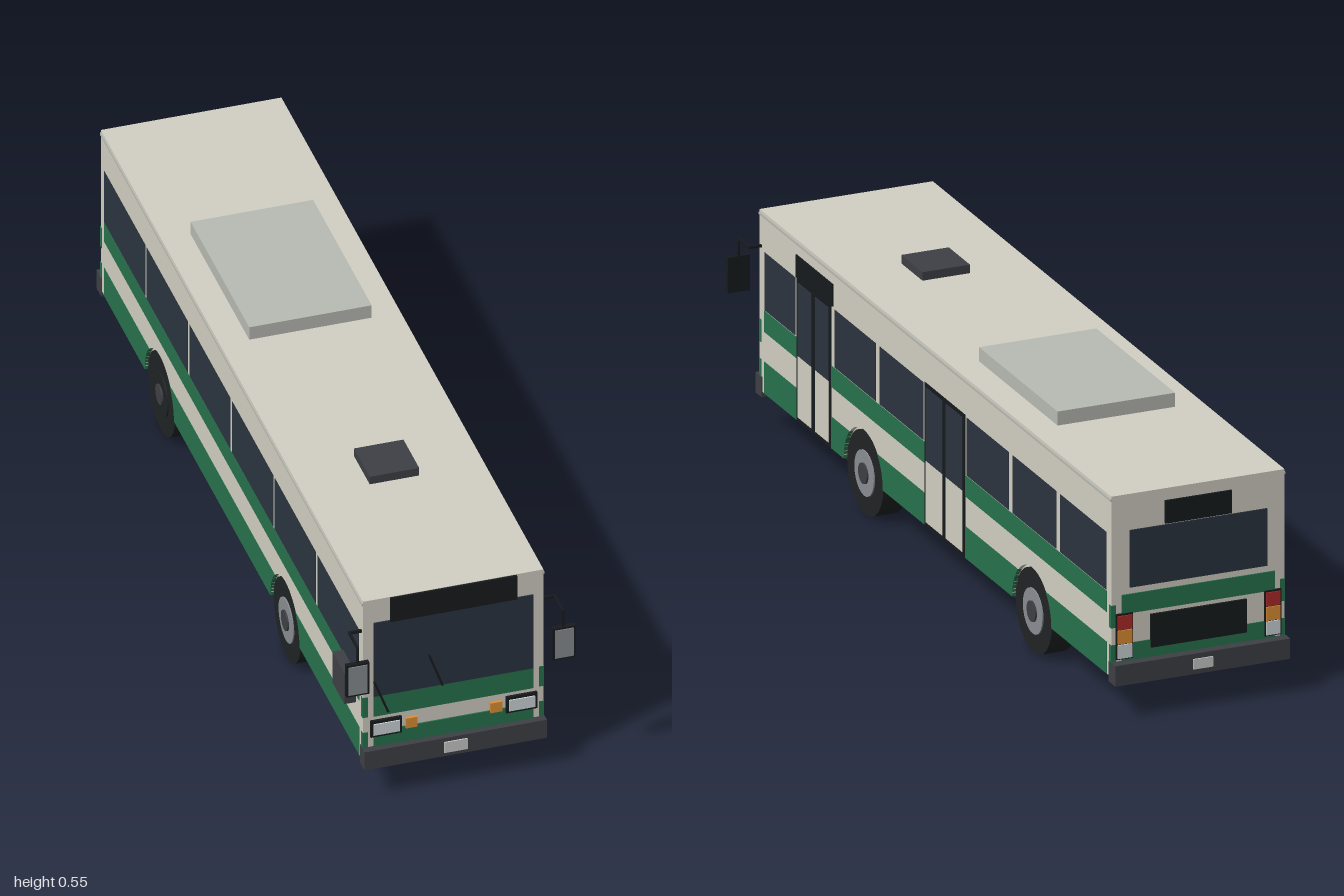
import * as THREE from 'three';

const mat = (color) => new THREE.MeshStandardMaterial({ color });
const M = {
  cream: mat(0xd3d0c4), green: mat(0x27724d), glass: mat(0x2b3440), black: mat(0x171b1d),
  dark: mat(0x3e4045), under: mat(0x29292b), ac: mat(0xb9bbb4), tyre: mat(0x202324),
  rim: mat(0x8a8e92), lamp: mat(0xcfd6da), orange: mat(0xdf9033), red: mat(0xb02a2a), plate: mat(0xd8d8d4),
};
const FRONT = 0.94, BACK = -0.97, HALF = 0.208, BASE = 0.095, ROOF = 0.52;
const WHEELS = [0.375, -0.54], ARCH = 0.106;

export function createModel() {
  const bus = new THREE.Group();
  bus.name = 'bus';

  const add = (name, geometry, material, x = 0, y = 0, z = 0) => {
    const mesh = new THREE.Mesh(geometry, material);
    mesh.name = name;
    mesh.position.set(x, y, z);
    bus.add(mesh);
    return mesh;
  };
  // box given by its extents
  const box = (name, material, x0, x1, y0, y1, z0, z1) =>
    add(name, new THREE.BoxGeometry(x1 - x0, y1 - y0, z1 - z0), material,
      (x0 + x1) / 2, (y0 + y1) / 2, (z0 + z1) / 2);
  // plate on a flank, from x0 to x1 measured outwards
  const flank = (name, material, s, x0, x1, y0, y1, z0, z1) =>
    box(name, material, Math.min(s * x0, s * x1), Math.max(s * x0, s * x1), y0, y1, z0, z1);
  // side profile (drawn with u = -z) extruded along x
  const sidePanel = (name, shape, material, s, x0, x1) => {
    const g = new THREE.ExtrudeGeometry(shape, { depth: x1 - x0, bevelEnabled: false, curveSegments: 24 });
    g.rotateY(Math.PI / 2);
    add(name, g, material, s > 0 ? x0 : -x1);
  };

  // body core, underside and roof
  box('bodyCore', M.cream, -0.198, 0.198, BASE, ROOF, BACK, FRONT);
  box('underside', M.under, -0.2, 0.2, BASE - 0.006, BASE + 0.001, BACK + 0.005, FRONT - 0.005);
  box('roofAirUnit', M.ac, -0.141, 0.141, ROOF, 0.553, -0.527, -0.1);
  box('roofHatch', M.dark, -0.057, 0.057, ROOF, 0.54, 0.397, 0.512);

  // side skin with round wheel arches
  const skin = new THREE.Shape();
  skin.moveTo(-FRONT, BASE);
  for (const z of WHEELS) {
    skin.lineTo(-z - ARCH, BASE);
    skin.absarc(-z, BASE, ARCH, Math.PI, 0, true);
  }
  skin.lineTo(-BACK, BASE);
  skin.lineTo(-BACK, ROOF);
  skin.lineTo(-FRONT, ROOF);
  skin.closePath();

  // lower stripe pieces, with ends following the arches
  const edge = (u, dir) => Array.from({ length: 9 }, (_, i) => {
    const h = 0.075 * i / 8;
    return new THREE.Vector2(u + dir * Math.sqrt(ARCH ** 2 - h ** 2), BASE + h);
  });
  const straight = (u) => [new THREE.Vector2(u, BASE), new THREE.Vector2(u, 0.17)];
  const [wf, wr] = WHEELS;
  const stripePieces = [
    [straight(-0.915), edge(-wf, -1)],
    [edge(-wf, 1), edge(-wr, -1)],
    [edge(-wr, 1), straight(0.945)],
  ].map(([a, b]) => new THREE.Shape([...b, ...a.reverse()]));

  const windows = {
    1: [[0.745, 0.912], [0.307, 0.532], [0.05, 0.286], [-0.414, -0.185], [-0.671, -0.436], [-0.944, -0.693]],
    [-1]: Array.from({ length: 6 }, (_, i) => [-0.944 + i * 0.311, -0.944 + i * 0.311 + 0.299]),
  };
  for (const s of [1, -1]) {
    sidePanel('sideSkin', skin, M.cream, s, 0.198, HALF);
    for (const p of stripePieces) sidePanel('lowerSideStripe', p, M.green, s, 0.2, HALF + 0.001);
    flank('upperSideStripe', M.green, s, 0.2, HALF + 0.001, 0.24, 0.29, -0.945, 0.915);
    flank('roofRail', M.ac, s, 0.205, HALF + 0.002, 0.508, 0.514, BACK, FRONT);
    for (const [z0, z1] of windows[s]) flank('sideWindow', M.glass, s, 0.2, HALF + 0.001, 0.292, 0.428, z0, z1);
    // green stripe ends wrapping the corners
    for (const [y0, y1] of [[0.13, 0.17], [0.21, 0.263]]) {
      flank('frontCornerStripe', M.green, s, 0.197, HALF + 0.001, y0, y1, FRONT - 0.01, FRONT + 0.001);
      flank('rearCornerStripe', M.green, s, 0.197, HALF + 0.001, y0, y1, BACK - 0.001, BACK + 0.01);
    }
  }

  // two double doors on the +x side, with a route display above the first
  for (const [z0, z1] of [[0.55, 0.735], [-0.177, 0.042]]) {
    box('doorFrame', M.black, 0.2, 0.2095, BASE, 0.432, z0, z1);
    const w = (z1 - z0) / 2;
    for (const a of [z0, z0 + w]) {
      box('doorGlass', M.glass, 0.2, 0.211, 0.25, 0.422, a + 0.011, a + w - 0.009);
      box('doorPanel', M.cream, 0.2, 0.211, 0.105, 0.25, a + 0.011, a + w - 0.009);
    }
  }
  box('sideDisplay', M.black, 0.2, 0.211, 0.432, 0.485, 0.54, 0.738);
  box('sideLocker', M.dark, -0.234, -0.205, 0.218, 0.3, 0.8, 0.888);

  // front face
  const F = FRONT + 0.003;
  box('windscreen', M.glass, -0.184, 0.184, 0.263, 0.459, 0.93, F);
  box('frontDisplay', M.black, -0.146, 0.146, 0.456, 0.519, 0.93, F + 0.002);
  box('frontUpperStripe', M.green, -0.184, 0.184, 0.21, 0.263, 0.93, F);
  box('frontLowerStripe', M.green, -0.184, 0.184, 0.128, 0.17, 0.93, F);
  box('frontBumper', M.dark, -0.21, 0.21, 0.082, 0.13, 0.925, 0.958);
  box('frontPlate', M.plate, -0.027, 0.027, 0.092, 0.12, 0.95, 0.961);
  for (const s of [1, -1]) {
    flank('headlightFrame', M.black, s, 0.12, 0.192, 0.158, 0.2, 0.93, F + 0.004);
    flank('headlight', M.lamp, s, 0.126, 0.186, 0.164, 0.193, 0.93, F + 0.007);
    flank('indicator', M.orange, s, 0.084, 0.111, 0.166, 0.192, 0.93, F + 0.004);
  }
  for (const [x0, y0, x1, y1] of [[-0.058, 0.352, -0.027, 0.265], [-0.184, 0.305, -0.152, 0.22]]) {
    const wiper = add('wiper', new THREE.BoxGeometry(0.005, Math.hypot(x1 - x0, y1 - y0), 0.005),
      M.black, (x0 + x1) / 2, (y0 + y1) / 2, F + 0.004);
    wiper.rotation.z = Math.atan2(x1 - x0, y0 - y1);
  }

  // rear face
  const R = BACK - 0.003;
  box('rearWindow', M.glass, -0.165, 0.165, 0.3, 0.435, R, -0.96);
  box('rearDisplay', M.black, -0.08, 0.08, 0.438, 0.492, R - 0.002, -0.96);
  box('rearUpperStripe', M.green, -0.184, 0.184, 0.24, 0.285, R, -0.96);
  box('rearLowerStripe', M.green, -0.184, 0.184, 0.128, 0.17, R, -0.96);
  box('engineGrille', M.black, -0.115, 0.115, 0.152, 0.23, R - 0.003, -0.96);
  box('rearBumper', M.dark, -0.21, 0.21, 0.082, 0.13, -0.996, -0.96);
  box('rearPlate', M.plate, -0.024, 0.024, 0.094, 0.118, -0.999, -0.98);
  for (const s of [1, -1]) {
    flank('tailLightFrame', M.black, s, 0.158, 0.198, 0.135, 0.242, R - 0.002, -0.96);
    [M.lamp, M.orange, M.red].forEach((m, i) =>
      flank('tailLight', m, s, 0.161, 0.195, 0.138 + i * 0.034, 0.17 + i * 0.034, R - 0.005, -0.96));
  }

  // mirrors on bent arms
  for (const s of [1, -1]) {
    flank('mirrorArmRoot', M.black, s, 0.2, 0.239, 0.434, 0.44, 0.928, 0.934);
    flank('mirrorArm', M.black, s, 0.234, 0.239, 0.434, 0.44, 0.928, 0.994);
    flank('mirrorStem', M.black, s, 0.234, 0.239, 0.39, 0.44, 0.988, 0.994);
    flank('mirrorHousing', M.black, s, 0.211, 0.264, 0.313, 0.397, 0.986, 0.997);
    flank('mirrorGlass', M.rim, s, 0.216, 0.259, 0.318, 0.392, 0.99, 0.999);
  }

  // wheels, with an inner hub drum at the rear
  const disc = (name, material, s, r, x0, x1, z) => {
    const g = new THREE.CylinderGeometry(r, r, x1 - x0, 24).rotateZ(Math.PI / 2);
    add(name, g, material, s * (x0 + x1) / 2, 0.098, z);
  };
  for (const s of [1, -1]) {
    for (const z of WHEELS) {
      const rear = z < 0;
      disc('tyre', M.tyre, s, 0.098, 0.148, 0.204, z);
      disc('rim', rear && s < 0 ? M.tyre : M.rim, s, 0.053, 0.15, 0.207, z);
      disc('hub', M.dark, s, 0.024, 0.15, 0.211, z);
      if (rear) {
        disc('innerDrum', M.rim, s, 0.073, 0.114, 0.15, z);
        disc('innerDrumCap', s < 0 ? M.rim : M.tyre, s, 0.073, 0.108, 0.114, z);
      }
    }
  }
  return bus;
}
